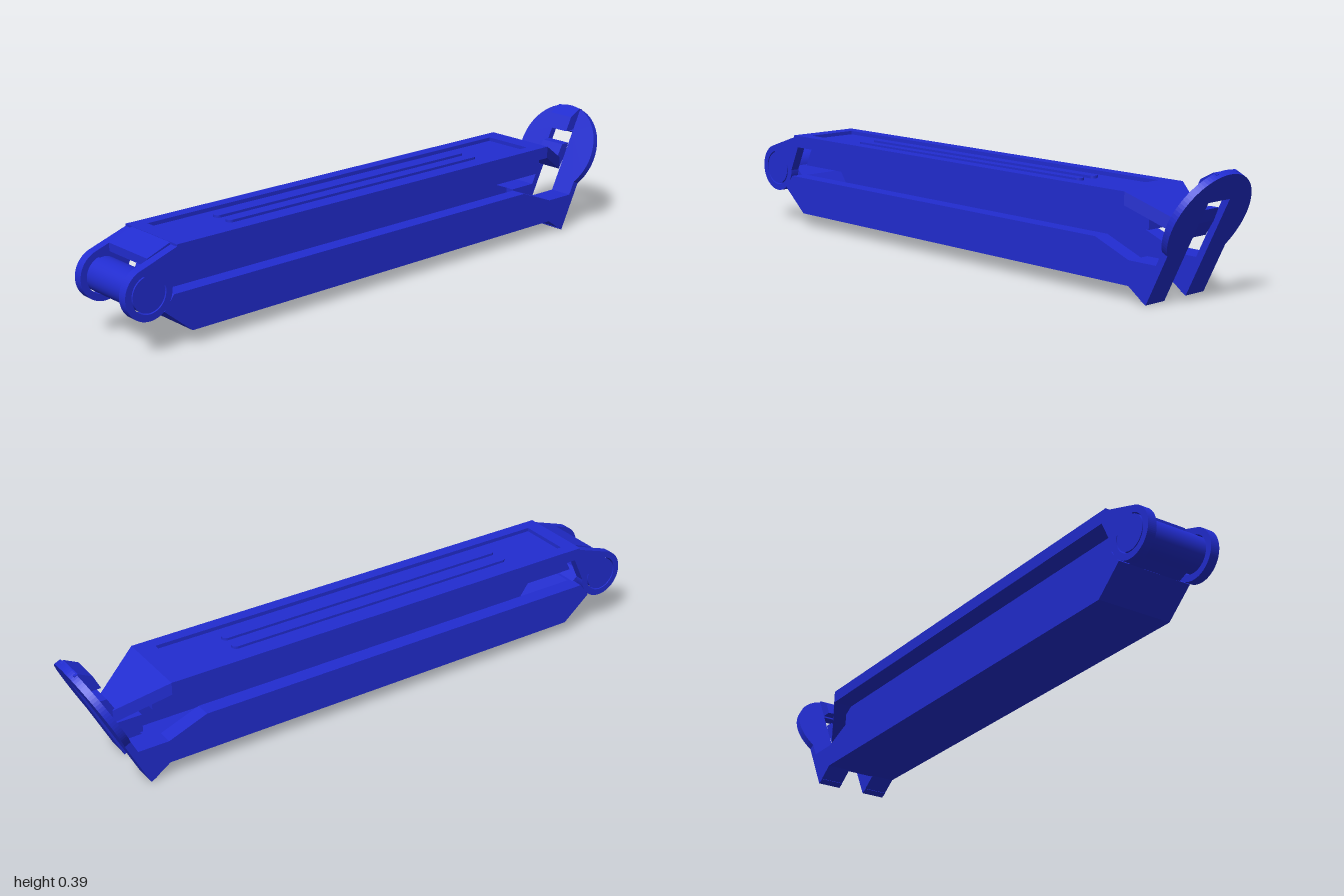
import * as THREE from 'three';

export function createModel() {
  const group = new THREE.Group();
  const blue = new THREE.MeshStandardMaterial({ color: 0x212cd0 });
  const add = (name, geometry, parent = group) => {
    const mesh = new THREE.Mesh(geometry, blue);
    mesh.name = name;
    parent.add(mesh);
    return mesh;
  };
  const polygon = (pts) => new THREE.Shape(pts.map(([x, y]) => new THREE.Vector2(x, y)));
  // side profile in x/y, extruded from z0 to z1
  const slice = (shape, z0, z1) =>
    new THREE.ExtrudeGeometry(shape, { depth: z1 - z0, bevelEnabled: false, curveSegments: 32 }).translate(0, 0, z0);
  // same slice on both sides of the centre plane
  const pair = (name, shape, z0, z1) => {
    add(name + 'Left', slice(shape, z0, z1));
    add(name + 'Right', slice(shape, -z1, -z0));
  };
  // flat-faced loft through rectangular sections [x, bottom, top, halfWidth]
  const loft = (sections) => {
    const rings = sections.map(([x, b, t, w]) => [[x, b, w], [x, b, -w], [x, t, -w], [x, t, w]]);
    const pos = [];
    const quad = (a, b, c, d) => pos.push(...a, ...b, ...c, ...a, ...c, ...d);
    for (let i = 0; i + 1 < rings.length; i++) {
      for (let j = 0; j < 4; j++) {
        const k = (j + 1) % 4;
        quad(rings[i][j], rings[i][k], rings[i + 1][k], rings[i + 1][j]);
      }
    }
    const first = rings[0], last = rings[rings.length - 1];
    quad(first[3], first[2], first[1], first[0]);
    quad(last[0], last[1], last[2], last[3]);
    const g = new THREE.BufferGeometry();
    g.setAttribute('position', new THREE.Float32BufferAttribute(pos, 3));
    g.computeVertexNormals();
    return g;
  };
  const W = 0.127, SLOT = 0.047;

  // Upper arm: slab, tapered nose and raised rim around the grip recess
  add('upperArm', loft([
    [-0.9, 0.257, 0.283, 0.095], [-0.82, 0.275, 0.314, 0.095], [-0.8, 0.275, 0.303, 0.095],
  ]));
  add('upperSlab', loft([[-0.82, 0.275, 0.303, W], [0.72, 0.275, 0.303, W]]));
  add('upperNose', loft([[0.72, 0.275, 0.315, W], [0.875, 0.19, 0.232, SLOT]]));
  const rim = polygon([[-0.82, -W], [0.72, -W], [0.72, W], [-0.82, W]]);
  rim.holes.push(new THREE.Path([[-0.77, -0.087], [-0.77, 0.087], [0.66, 0.087], [0.66, -0.087]]
    .map(([x, y]) => new THREE.Vector2(x, y))));
  add('gripRim', new THREE.ExtrudeGeometry(rim, { depth: 0.012, bevelEnabled: false })
    .rotateX(-Math.PI / 2).translate(0, 0.303, 0));

  // Grip ridges with rounded ends
  for (const z of [-0.032, 0.028]) {
    const r = 0.015;
    const ridge = new THREE.Shape();
    ridge.absarc(0.45, 0, r, -Math.PI / 2, Math.PI / 2, false);
    ridge.absarc(-0.555, 0, r, Math.PI / 2, Math.PI * 1.5, false);
    add('gripRidge', new THREE.ExtrudeGeometry(ridge, { depth: 0.008, bevelEnabled: false })
      .rotateX(-Math.PI / 2).translate(0, 0.303, z));
  }

  // Clamping rib under the upper arm
  add('clampRib', slice(polygon([[-0.84, 0.2], [0.755, 0.2], [0.755, 0.258], [0.72, 0.28], [-0.8, 0.28]]), -0.06, 0.06));

  // Latch tongue that passes through the release plate
  add('latchTongue', slice(polygon([
    [0.85, 0.205], [0.877, 0.19], [0.905, 0.235], [0.922, 0.275], [0.89, 0.275], [0.868, 0.236],
  ]), -0.044, 0.044));

  // Hinge ears
  const cx = -0.92, cy = 0.19;
  const ear = new THREE.Shape();
  ear.moveTo(-0.82, 0.315);
  ear.absarc(cx, cy, 0.08, Math.PI * 0.62, Math.PI * 2, false);
  ear.lineTo(-0.8, 0.275);
  ear.lineTo(-0.8, 0.315);
  const bore = new THREE.Path();
  bore.absarc(cx, cy, 0.059, 0, Math.PI * 2, true);
  ear.holes.push(bore);
  pair('hingeEar', ear, 0.097, W);

  // Hinge pin and its web to the lower arm
  add('hingePin', new THREE.CylinderGeometry(0.055, 0.055, 2 * W, 40).rotateX(Math.PI / 2).translate(cx, cy, 0));
  add('hingeWeb', slice(polygon([[-0.93, 0.15], [-0.868, 0.125], [-0.83, 0.17], [-0.88, 0.21]]), -0.09, 0.09));

  // Lower arm: open trough
  const wall = polygon([[-0.87, 0.125], [-0.775, 0.045], [0.74, 0.045], [0.74, 0.12], [0.61, 0.17], [-0.835, 0.17]]);
  pair('troughWall', wall, 0.075, W);
  add('troughFloor', slice(polygon([[-0.775, 0.045], [0.75, 0.045], [0.75, 0.06], [-0.775, 0.06]]), -0.075, 0.075));
  add('troughEnd', slice(polygon([[-0.87, 0.125], [-0.775, 0.045], [-0.74, 0.06], [-0.82, 0.17], [-0.835, 0.17]]), -0.075, 0.075));

  // Blocks joining the trough to the release plate
  pair('plateFoot', polygon([[0.74, 0.045], [0.79, 0.01], [0.85, 0.12], [0.74, 0.12]]), SLOT, W);

  // Tilted release plate: round head, straight legs, slot open at the bottom
  const R = 0.16, cv = 0.268;
  const a = Math.acos(W / R);
  const plate = polygon([[SLOT, 0], [W, 0]]);
  plate.absarc(0, cv, R, -a, Math.PI + a, false);
  plate.lineTo(-W, 0);
  plate.lineTo(-SLOT, 0);
  plate.lineTo(-SLOT, 0.339);
  plate.lineTo(SLOT, 0.339);
  const c = 0.8944, s = 0.4472;
  const tilt = new THREE.Matrix4().makeBasis(
    new THREE.Vector3(0, 0, -1), new THREE.Vector3(s, c, 0), new THREE.Vector3(c, -s, 0),
  ).setPosition(0.787, 0.01, 0);
  add('releasePlate', new THREE.ExtrudeGeometry(plate, { depth: 0.022, bevelEnabled: false, curveSegments: 32 })
    .applyMatrix4(tilt));

  // Catch on the inner face of the plate
  add('plateCatch', slice(polygon([
    [0.905, 0.32], [0.95, 0.32], [0.985, 0.385], [0.973, 0.39], [0.928, 0.367],
  ]), -SLOT, SLOT));

  return group;
}
